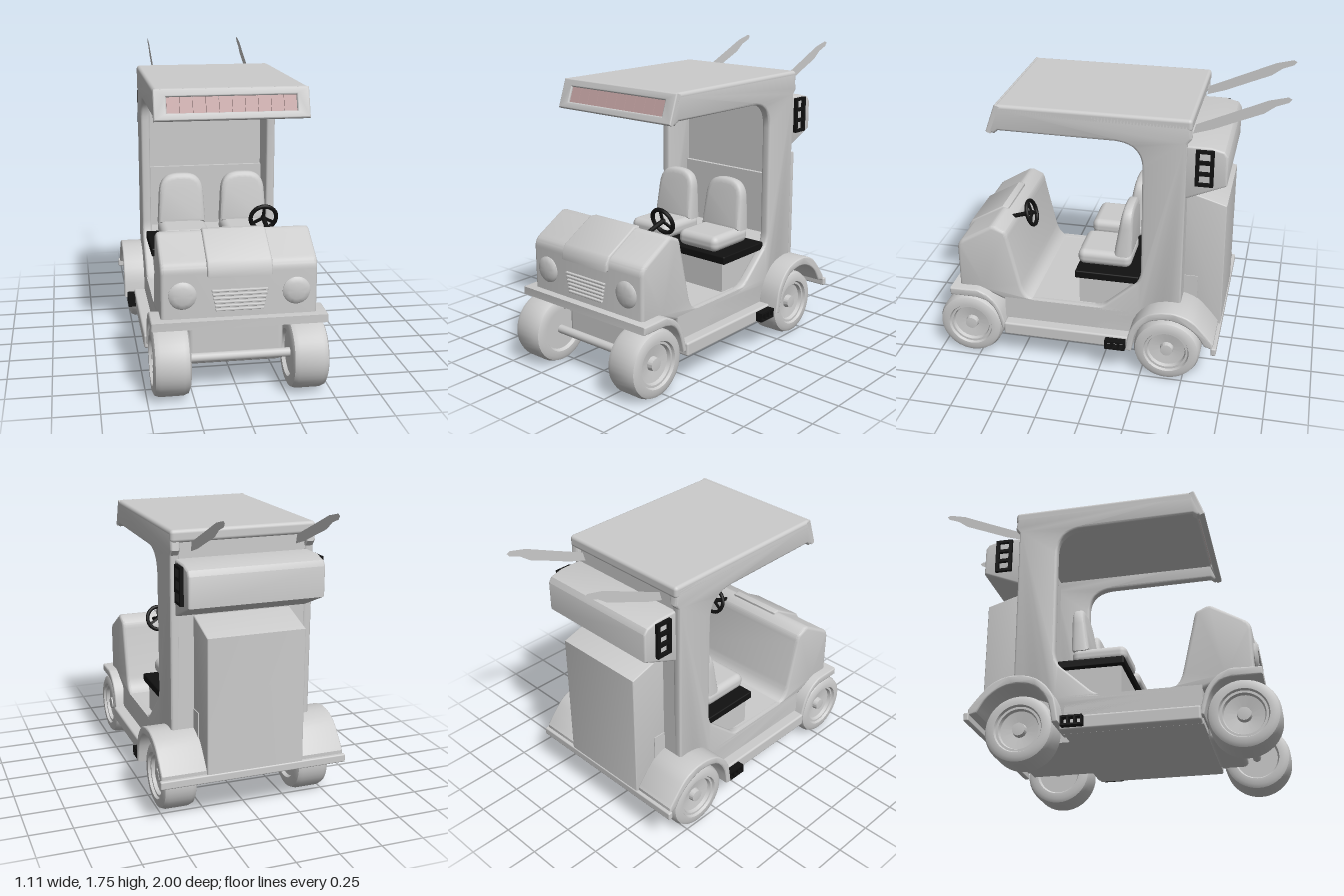
import * as THREE from 'three';
import { toCreasedNormals } from 'three/addons/utils/BufferGeometryUtils.js';
import { RoundedBoxGeometry } from 'three/addons/geometries/RoundedBoxGeometry.js';

const grey = new THREE.MeshStandardMaterial({ color: 0xcccccc });
const sheet = new THREE.MeshStandardMaterial({ color: 0xcccccc, side: THREE.DoubleSide });
const black = new THREE.MeshStandardMaterial({ color: 0x111111 });
const pink = new THREE.MeshStandardMaterial({ color: 0xc4a3a3 });

export function createModel() {
  const model = new THREE.Group();

  const add = (name, geo, mat = grey) => {
    const mesh = new THREE.Mesh(geo, mat);
    mesh.name = name;
    model.add(mesh);
    return mesh;
  };
  const crease = (geo) => toCreasedNormals(geo, 0.6);
  // Box given by its limits on each axis
  const box = (name, x0, x1, y0, y1, z0, z1, r = 0, mat = grey) => {
    const s = [x1 - x0, y1 - y0, z1 - z0];
    const geo = r ? new RoundedBoxGeometry(...s, 3, r) : new THREE.BoxGeometry(...s);
    return add(name, geo.translate((x0 + x1) / 2, (y0 + y1) / 2, (z0 + z1) / 2), mat);
  };
  const polygon = (pts) => new THREE.Shape(pts.map((p) => new THREE.Vector2(...p)));
  const extrude = (shape, depth, bevel) => new THREE.ExtrudeGeometry(shape, {
    depth: depth - 2 * bevel, bevelEnabled: bevel > 0, bevelSize: bevel, bevelOffset: -bevel,
    bevelThickness: bevel, bevelSegments: 3, curveSegments: 10,
  }).translate(0, 0, bevel - depth / 2);
  // Side profile of (z, y) points swept from x0 to x1
  const sweep = (name, shape, x0, x1, bevel = 0.012, mat = grey) =>
    add(name, crease(extrude(shape, x1 - x0, bevel).rotateY(-Math.PI / 2).translate((x0 + x1) / 2, 0, 0)), mat);
  const smooth = (pts) => new THREE.SplineCurve(pts.map((p) => new THREE.Vector2(...p))).getPoints(20);
  const bothSides = (fn) => [['left', 1], ['right', -1]].forEach(([side, s]) => fn(side, s));
  const span = (s, a, b) => (s > 0 ? [a, b] : [-b, -a]);

  // Floor and inner body
  box('floor', -0.42, 0.42, 0.17, 0.39, -0.17, 0.59);
  box('rearTub', -0.29, 0.29, 0.17, 0.6, -0.55, -0.15);
  box('frontTub', -0.265, 0.265, 0.13, 0.41, 0.59, 0.76, 0.03);
  box('seatBase', -0.37, 0.37, 0.38, 0.57, -0.22, 0.14);
  box('rearShelf', -0.38, 0.38, 0.44, 0.6, -0.45, -0.2);
  box('lowerBackWall', -0.38, 0.38, 0.44, 0.98, -0.46, -0.41);
  box('backWall', -0.4, 0.4, 0.44, 1.6, -0.47, -0.435);

  // Bonnet with dashboard slope
  const hood = new THREE.Shape();
  hood.moveTo(0.6, 0.37);
  hood.lineTo(0.72, 0.42);
  hood.lineTo(0.87, 0.42);
  hood.lineTo(0.87, 0.69);
  hood.quadraticCurveTo(0.87, 0.735, 0.83, 0.757);
  hood.lineTo(0.67, 0.853);
  hood.quadraticCurveTo(0.645, 0.868, 0.62, 0.855);
  hood.lineTo(0.575, 0.835);
  hood.quadraticCurveTo(0.56, 0.82, 0.555, 0.78);
  hood.lineTo(0.49, 0.49);
  hood.quadraticCurveTo(0.47, 0.39, 0.4, 0.385);
  hood.lineTo(0.4, 0.37);
  sweep('bonnet', hood, -0.42, 0.42, 0.02);
  sweep('bonnetRidge', polygon([[0.8, 0.67], [0.885, 0.67], [0.885, 0.71], [0.86, 0.755],
    [0.66, 0.872], [0.62, 0.868], [0.62, 0.82]]), -0.175, 0.175);

  // Grille slats and headlights
  for (let i = 0; i < 6; i++) {
    const w = 0.15 - i * 0.004, y = 0.595 - i * 0.021;
    box('grilleSlat', -w, w, y - 0.006, y + 0.006, 0.86, 0.884, 0.004);
  }
  bothSides((side, s) => {
    const lamp = new THREE.LatheGeometry([[0.075, 0], [0.075, 0.012], [0.066, 0.02], [0.045, 0.026], [0, 0.03]]
      .map((p) => new THREE.Vector2(...p)), 32).rotateX(Math.PI / 2);
    add(side + 'Headlight', crease(lamp)).position.set(s * 0.305, 0.575, 0.862);
  });

  // Front bumper running back into the front mudguards
  sweep('frontBumper', polygon([[0.915, 0.4], [0.915, 0.445], [0.76, 0.45],
    ...smooth([[0.74, 0.447], [0.67, 0.41], [0.61, 0.33], [0.575, 0.2]]),
    ...smooth([[0.6, 0.2], [0.632, 0.31], [0.68, 0.375], [0.75, 0.4]])]), -0.475, 0.475, 0.008);

  // Side frame: sill, rear pillar and roof flange
  const frame = new THREE.Shape();
  frame.moveTo(0.59, 0.17);
  frame.lineTo(-0.175, 0.17);
  frame.quadraticCurveTo(-0.18, 0.44, -0.41, 0.45);
  frame.lineTo(-0.47, 0.45);
  frame.lineTo(-0.475, 1.48);
  frame.lineTo(-0.5, 1.51);
  frame.lineTo(-0.485, 1.61);
  frame.lineTo(0.575, 1.61);
  frame.lineTo(0.635, 1.46);
  frame.lineTo(0.6, 1.45);
  frame.lineTo(0.575, 1.47);
  frame.lineTo(-0.08, 1.465);
  frame.quadraticCurveTo(-0.235, 1.46, -0.235, 1.31);
  frame.lineTo(-0.235, 0.68);
  frame.quadraticCurveTo(-0.235, 0.61, -0.2, 0.575);
  frame.lineTo(-0.04, 0.43);
  frame.quadraticCurveTo(0, 0.39, 0.06, 0.39);
  frame.lineTo(0.59, 0.39);

  // Rear mudguard arch
  const arch = polygon([
    ...smooth([[-0.17, 0.2], [-0.2, 0.35], [-0.29, 0.455], [-0.42, 0.49], [-0.54, 0.46], [-0.62, 0.385], [-0.68, 0.31]]),
    [-0.68, 0.275],
    ...smooth([[-0.63, 0.29], [-0.58, 0.365], [-0.5, 0.42], [-0.41, 0.44], [-0.3, 0.412], [-0.23, 0.32], [-0.205, 0.2]])]);

  // Blade fin standing behind the roof
  const fin = polygon([[-0.49, 1.5], [-0.505, 1.555], [-0.7, 1.64], [-0.88, 1.72], [-0.98, 1.745], [-1, 1.735],
    [-0.985, 1.715], [-0.92, 1.69], [-0.86, 1.645], [-0.74, 1.595], [-0.6, 1.535]]);

  // Black lamp frame with three openings, centred on (z, y)
  const lampFrame = (z, y, w, h, vertical) => {
    const shape = polygon([[z - w / 2, y - h / 2], [z + w / 2, y - h / 2], [z + w / 2, y + h / 2], [z - w / 2, y + h / 2]]);
    for (let i = -1; i <= 1; i++) {
      const cz = z + (vertical ? 0 : i * w * 0.31), cy = y + (vertical ? i * h * 0.31 : 0);
      const a = vertical ? w * 0.3 : w * 0.11, b = vertical ? h * 0.11 : h * 0.32;
      shape.holes.push(new THREE.Path([[-a, -b], [-a, b], [a, b], [a, -b]]
        .map(([u, v]) => new THREE.Vector2(cz + u, cy + v))));
    }
    return shape;
  };

  bothSides((side, s) => {
    sweep(side + 'SideFrame', frame, ...span(s, 0.365, 0.42), 0.014);
    sweep(side + 'RearMudguard', arch, ...span(s, 0.28, 0.545), 0.008);
    box(side + 'RunningBoard', ...span(s, 0.41, 0.487), 0.17, 0.25, -0.18, 0.585, 0.012);
    add(side + 'RoofFin', new THREE.ShapeGeometry(fin).rotateY(-Math.PI / 2).translate(s * 0.305, 0, 0), sheet);
    sweep(side + 'TailLamp', lampFrame(-0.572, 1.342, 0.1, 0.21, true), ...span(s, 0.375, 0.41), 0, black);
    sweep(side + 'SideMarker', lampFrame(-0.103, 0.21, 0.122, 0.055, false), ...span(s, 0.48, 0.53), 0, black);
  });

  // Roof panel and sloping front visor with a segmented light strip
  box('roof', -0.42, 0.42, 1.55, 1.62, -0.5, 0.59, 0.02);
  const visor = polygon([[-0.42, -0.085], [0.42, -0.085], [0.42, 0.085], [-0.42, 0.085]]);
  visor.holes.push(new THREE.Path([[-0.35, -0.045], [-0.35, 0.042], [0.35, 0.042], [0.35, -0.045]]
    .map((p) => new THREE.Vector2(...p))));
  const tilt = (mesh) => { mesh.position.set(0, 1.535, 0.602); mesh.rotation.x = -0.34; };
  tilt(add('visor', crease(extrude(visor, 0.035, 0.008))));
  for (let i = 0; i < 10; i++) {
    tilt(add('lightStripSegment', new THREE.BoxGeometry(0.068, 0.09, 0.014).translate(-0.315 + i * 0.07, 0, 0), pink));
  }

  // Rear light box, luggage trunk and rear bumper
  sweep('rearLightBox', polygon([[-0.45, 1.146], [-0.475, 1.146], [-0.695, 1.24], [-0.695, 1.41],
    [-0.675, 1.44], [-0.6, 1.46], [-0.45, 1.46]]), -0.39, 0.39, 0.012);
  sweep('trunk', polygon([[-0.45, 0.25], [-0.695, 0.25], [-0.695, 1.07], [-0.47, 1.14], [-0.45, 1.14]]), -0.285, 0.285, 0.006);
  box('rearBumper', -0.555, 0.555, 0.242, 0.29, -0.7, -0.67, 0.008);

  // Seats on a black board
  box('seatBoard', -0.4, 0.4, 0.567, 0.615, -0.22, 0.16, 0.008, black);
  const back = new THREE.Shape();
  back.moveTo(-0.145, 0);
  back.lineTo(-0.135, 0.18);
  back.bezierCurveTo(-0.13, 0.29, -0.07, 0.3, 0, 0.3);
  back.bezierCurveTo(0.07, 0.3, 0.13, 0.29, 0.135, 0.18);
  back.lineTo(0.145, 0);
  bothSides((side, s) => {
    box(side + 'SeatCushion', s * 0.19 - 0.145, s * 0.19 + 0.145, 0.62, 0.715, -0.16, 0.16, 0.04);
    // Backrest thins toward its top while its rear stays upright
    const geo = extrude(back, 0.11, 0.03);
    const p = geo.attributes.position;
    for (let i = 0; i < p.count; i++) p.setZ(i, (p.getZ(i) + 0.055) * (1 - 1.5 * p.getY(i)) - 0.165);
    add(side + 'SeatBack', crease(geo.translate(s * 0.19, 0.7, 0)));
  });

  // Steering wheel
  const steering = new THREE.Group();
  steering.name = 'steeringWheel';
  const rim = new THREE.Mesh(new THREE.TorusGeometry(0.073, 0.012, 10, 32), black);
  rim.name = 'steeringRim';
  const column = new THREE.Mesh(new THREE.CylinderGeometry(0.012, 0.014, 0.15, 12).rotateX(Math.PI / 2).translate(0, 0, 0.065), black);
  column.name = 'steeringColumn';
  steering.add(rim, column);
  for (let i = 0; i < 3; i++) {
    const a = Math.PI / 2 + (i * Math.PI * 2) / 3;
    const spoke = new THREE.Mesh(new THREE.BoxGeometry(0.073, 0.016, 0.01).translate(0.036, 0, 0).rotateZ(a), black);
    spoke.name = 'steeringSpoke';
    steering.add(spoke);
  }
  steering.position.set(0.205, 0.866, 0.467);
  steering.rotation.x = 0.3;
  model.add(steering);

  // Wheels with dished rims, and axles
  const profile = [[0, -0.08], [0.12, -0.08], [0.13, -0.1], [0.165, -0.1], [0.185, -0.09], [0.195, -0.065],
    [0.195, 0.065], [0.185, 0.09], [0.165, 0.1], [0.135, 0.1], [0.128, 0.085], [0.115, 0.085], [0.108, 0.065],
    [0.04, 0.055], [0.036, 0.085], [0, 0.088]].map((p) => new THREE.Vector2(...p));
  const wheelGeo = crease(new THREE.LatheGeometry(profile, 40));
  [['Front', 0.805, 0.37], ['Rear', -0.405, 0.405]].forEach(([end, z, x]) => {
    bothSides((side, s) => {
      const wheel = add(side + end + 'Wheel', wheelGeo);
      wheel.position.set(s * x, 0.195, z);
      wheel.rotation.z = -s * Math.PI / 2;
    });
    add('axle' + end, new THREE.CylinderGeometry(0.025, 0.025, 0.62, 16).rotateZ(Math.PI / 2).translate(0, 0.195, z));
  });

  return model;
}
